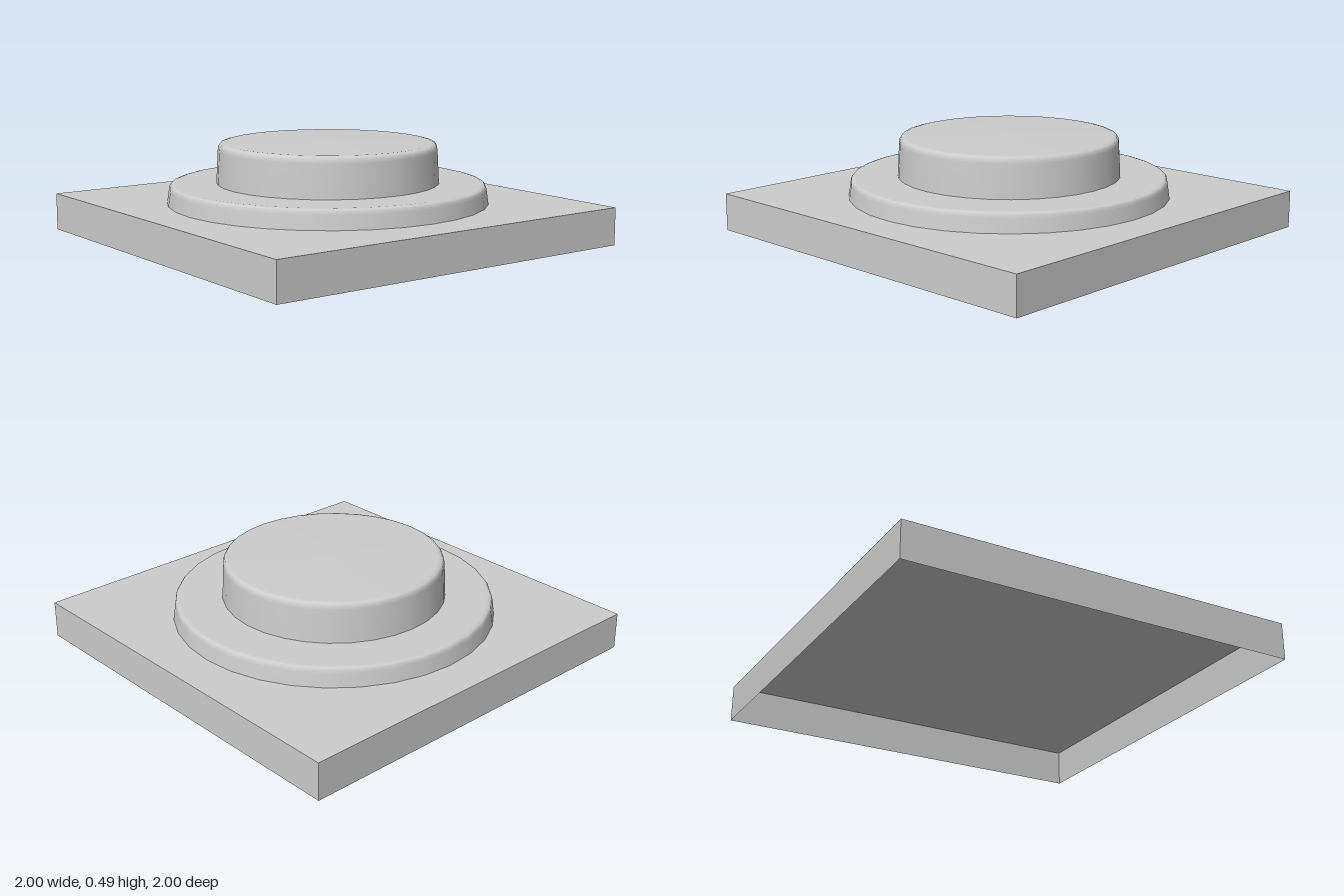
import * as THREE from 'three';

export function createModel() {
  const group = new THREE.Group();
  const grey = new THREE.MeshStandardMaterial({ color: 0xcccccc, side: THREE.DoubleSide });
  grey.name = 'light grey';

  // Square base: a thin shell, open underneath
  const baseHeight = 0.187;
  const baseGeometry = new THREE.BoxGeometry(2, baseHeight, 2);
  const index = Array.from(baseGeometry.index.array);
  index.splice(18, 6); // remove the bottom face
  baseGeometry.setIndex(index);
  baseGeometry.clearGroups();
  baseGeometry.translate(0, baseHeight / 2, 0);
  const base = new THREE.Mesh(baseGeometry, grey);
  base.name = 'squareBase';
  group.add(base);

  // Tapered round tier with a softly rounded rim, listed from bottom to top
  function addTier(name, profile) {
    const points = profile.map(([r, y]) => new THREE.Vector2(r, y));
    const tier = new THREE.Mesh(new THREE.LatheGeometry(points, 32), grey);
    tier.name = name;
    group.add(tier);
  }

  addTier('lowerDisc', [
    [0.8, baseHeight], [0.79, 0.255], [0.787, 0.27], [0.78, 0.279], [0.765, 0.283], [0, 0.287],
  ]);
  addTier('upperDisc', [
    [0.555, 0.283], [0.546, 0.45], [0.543, 0.467], [0.535, 0.479], [0.515, 0.484], [0, 0.491],
  ]);

  return group;
}
